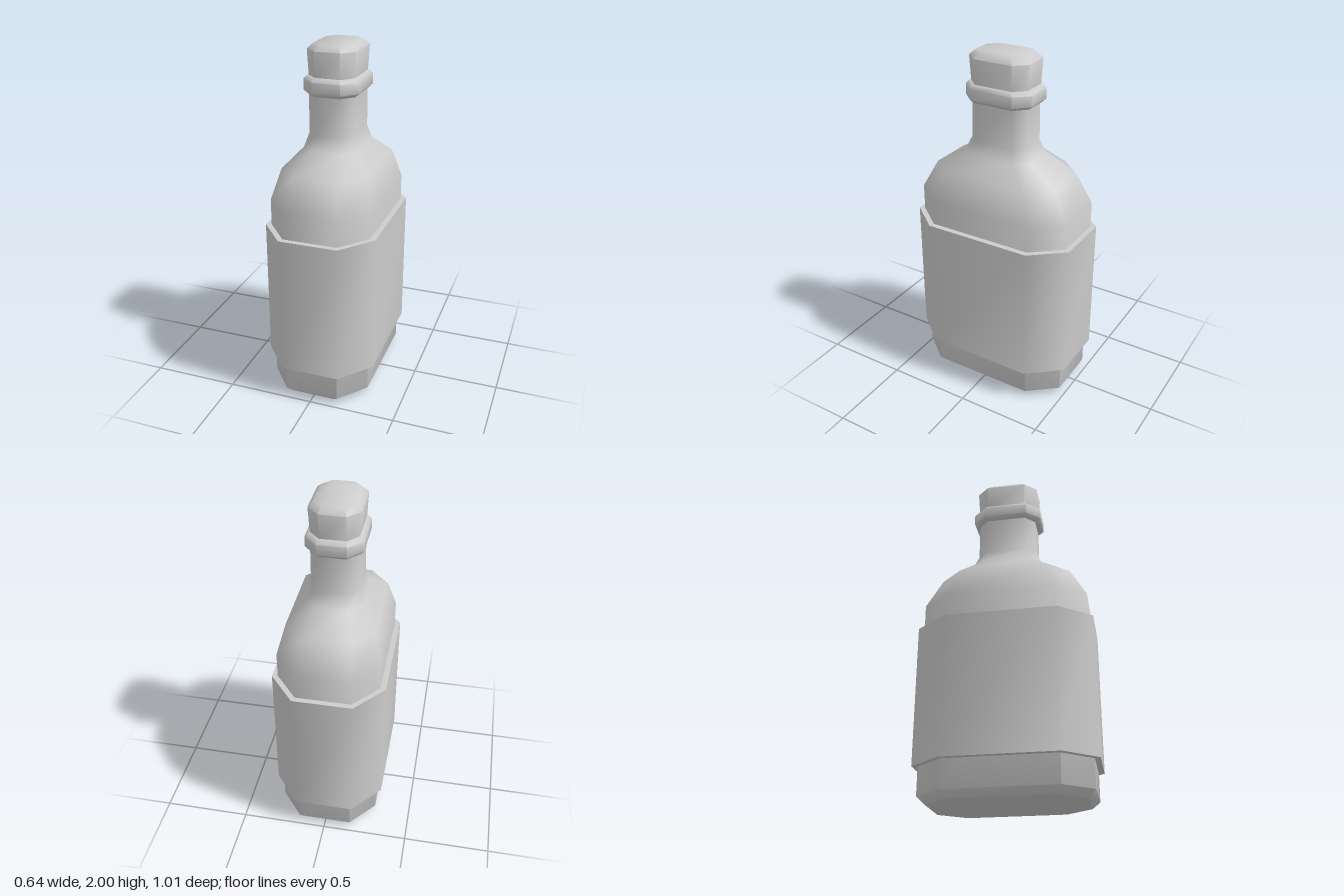
import * as THREE from 'three';
import { toCreasedNormals } from 'three/addons/utils/BufferGeometryUtils.js';

// Lofts eight-sided rings [y, halfX, halfZ, flatX, flatZ], listed from the bottom up.
function loft(rings, { bottom = false, top = false, crease = 1.0 } = {}) {
  const pos = [], index = [];
  for (const [y, hx, hz, fx, fz] of rings) {
    const corners = [[fx, hz], [hx, fz], [hx, -fz], [fx, -hz], [-fx, -hz], [-hx, -fz], [-hx, fz], [-fx, hz]];
    for (const [x, z] of corners) pos.push(x, y, z);
  }
  for (let r = 0; r < rings.length - 1; r++) {
    for (let i = 0; i < 8; i++) {
      const a = r * 8 + i, b = r * 8 + (i + 1) % 8;
      index.push(a, b, b + 8, a, b + 8, a + 8);
    }
  }
  const last = (rings.length - 1) * 8;
  for (let i = 1; i < 7; i++) {
    if (bottom) index.push(0, i + 1, i);
    if (top) index.push(last, last + i, last + i + 1);
  }
  const g = new THREE.BufferGeometry();
  g.setAttribute('position', new THREE.Float32BufferAttribute(pos, 3));
  g.setIndex(index);
  return toCreasedNormals(g, crease);
}

export function createModel() {
  const group = new THREE.Group();
  const grey = new THREE.MeshStandardMaterial({ color: 0xcccccc });
  grey.name = 'plain grey';
  const add = (name, geometry) => {
    const mesh = new THREE.Mesh(geometry, grey);
    mesh.name = name;
    group.add(mesh);
  };

  // Glass: bevelled foot, straight body, rounded shoulders and neck
  const foot = [0, 0.245, 0.43, 0.13, 0.28];
  add('bottleBody', loft([
    foot,
    [0.04, 0.29, 0.472, 0.155, 0.31],
    [1.16, 0.29, 0.472, 0.155, 0.31],
    [1.33, 0.245, 0.378, 0.13, 0.25],
    [1.43, 0.155, 0.21, 0.09, 0.14],
    [1.51, 0.13, 0.175, 0.07, 0.115],
    [1.75, 0.13, 0.172, 0.07, 0.115],
  ]));

  // Flat underside
  add('base', loft([foot], { bottom: true }));

  // Label sleeve standing proud of the body, closed at both rims
  add('label', loft([
    [0.2, 0.285, 0.465, 0.15, 0.305],
    [0.2, 0.322, 0.503, 0.168, 0.318],
    [1.01, 0.322, 0.503, 0.168, 0.318],
    [1.01, 0.285, 0.465, 0.15, 0.305],
  ]));

  // Bevelled collar around the lip
  add('collar', loft([
    [1.73, 0.125, 0.17, 0.065, 0.11],
    [1.73, 0.135, 0.185, 0.07, 0.12],
    [1.75, 0.155, 0.205, 0.08, 0.128],
    [1.81, 0.155, 0.205, 0.08, 0.128],
    [1.83, 0.138, 0.186, 0.072, 0.118],
    [1.83, 0.12, 0.165, 0.065, 0.11],
  ]));

  // Stopper with a softened top
  add('stopper', loft([
    [1.82, 0.13, 0.175, 0.07, 0.113],
    [1.97, 0.138, 0.185, 0.073, 0.117],
    [2.0, 0.108, 0.152, 0.058, 0.095],
  ], { top: true }));

  return group;
}
